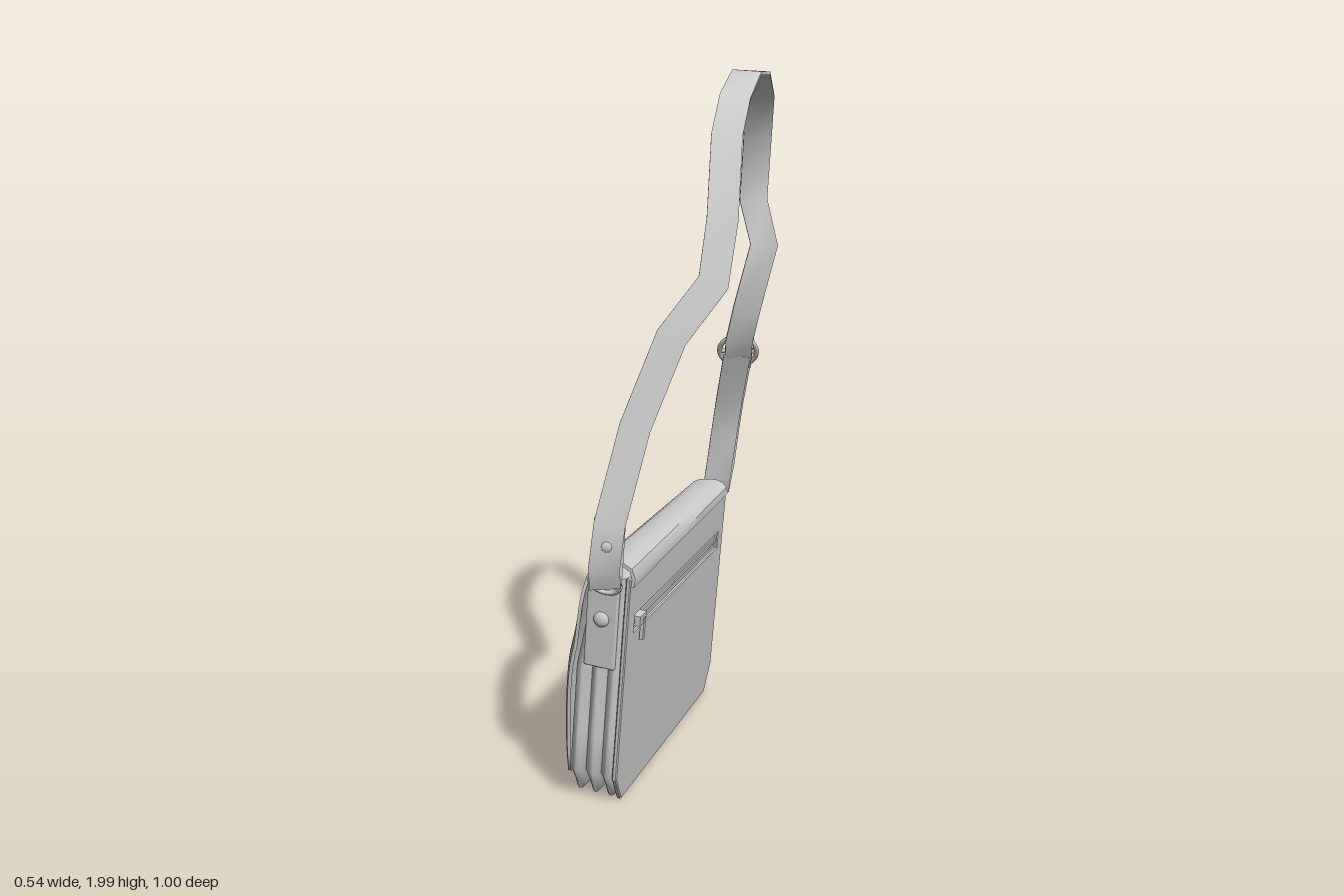
import * as THREE from 'three';
import { toCreasedNormals } from 'three/addons/utils/BufferGeometryUtils.js';
import { RoundedBoxGeometry } from 'three/addons/geometries/RoundedBoxGeometry.js';

const material = new THREE.MeshStandardMaterial({ color: 0xcccccc });
const V = (x, y, z) => new THREE.Vector3(x, y, z);
const clamp01 = v => THREE.MathUtils.clamp(v, 0, 1);

function add(parent, name, geometry, x = 0, y = 0, z = 0) {
  const mesh = new THREE.Mesh(geometry, material);
  mesh.name = name;
  mesh.position.set(x, y, z);
  parent.add(mesh);
  return mesh;
}

// Skin a list of equal-length rings and cap both ends
function loft(rings, crease = 0.6) {
  const n = rings[0].length, index = [];
  for (let i = 0; i < rings.length - 1; i++) {
    for (let j = 0; j < n; j++) {
      const a = i * n + j, b = i * n + (j + 1) % n;
      index.push(a, b, b + n, a, b + n, a + n);
    }
  }
  const last = (rings.length - 1) * n;
  for (let j = 1; j < n - 1; j++) {
    index.push(0, j + 1, j, last, last + j, last + j + 1);
  }
  const g = new THREE.BufferGeometry().setFromPoints(rings.flat());
  g.setIndex(index);
  return toCreasedNormals(g, crease);
}

// Band along points; width is kept square to the path, bend curls it across its width
function ribbon(points, halfWidth, thickness, across, steps = 1, bend = () => 0) {
  const rings = points.map((p, i) => {
    const t = points[Math.min(i + 1, points.length - 1)].clone()
      .sub(points[Math.max(i - 1, 0)]).normalize();
    const w = across.clone().addScaledVector(t, -across.dot(t)).normalize();
    const nrm = t.clone().cross(w);
    const half = typeof halfWidth === 'function' ? halfWidth(p, i) : halfWidth;
    const face = side => Array.from({ length: steps + 1 }, (_, k) => {
      const u = half * (1 - 2 * k / steps);
      return p.clone().addScaledVector(w, u)
        .addScaledVector(nrm, side * thickness / 2 - bend(u, p));
    });
    return [...face(1), ...face(-1).reverse()];
  });
  return loft(rings);
}

// The lower part of the bag sits slightly further back along its length
const lean = y => -0.018 * (1 - y / 0.7);

// Side outline of the bag (chamfered lower corners), x given as a rule of height
function outline(half, inset, xAt) {
  const side = [[half, 0.685], [half, 0.55], [half, 0.4], [half, 0.2],
    [half, 0.085], [half - 0.024, 0.045], [half - 0.05, 0.003]]
    .map(([z, y]) => [z - inset, y + inset * (y < 0.05 ? 1 : 0)]);
  const all = [...side, ...side.slice().reverse().map(([z, y]) => [-z, y])];
  return all.map(([z, y]) => V(xAt(y), y, z + lean(y)));
}

function createBag() {
  const bag = new THREE.Group();
  bag.name = 'bag';

  // Body with three accordion folds round the sides and base
  const depth = y => 0.138 - Math.max(0, y - 0.4) * 0.15;
  const rings = [];
  for (let k = 0; k <= 30; k++) {
    const t = k / 30;
    const inset = 0.024 * (1 - Math.abs(Math.sin(3 * Math.PI * t)));
    rings.push(outline(0.428, inset, y => -0.045 - (1 - t) * depth(y)));
  }
  add(bag, 'accordionBody', loft(rings, 0.8));

  // Flat panel with a slot for the zip
  const panel = new THREE.Shape(outline(0.426, 0, () => 0).map(p => new THREE.Vector2(-p.z, p.y)));
  panel.holes.push(new THREE.Path([[-0.37, 0.513], [0.38, 0.513], [0.38, 0.567], [-0.37, 0.567]]
    .map(([x, y]) => new THREE.Vector2(x, y))));
  add(bag, 'zipPanel', new THREE.ExtrudeGeometry(panel, {
    depth: 0.008, bevelThickness: 0.003, bevelSize: 0.003, bevelOffset: -0.001, bevelSegments: 1,
  }), -0.047).rotation.y = Math.PI / 2;

  // Flap folded over the top, its side edges curling in towards the body
  const profile = new THREE.CatmullRomCurve3([
    [-0.034, 0.675], [-0.036, 0.7], [-0.055, 0.718], [-0.1, 0.718], [-0.14, 0.702],
    [-0.165, 0.65], [-0.198, 0.5], [-0.213, 0.4], [-0.209, 0.2], [-0.194, 0.055],
  ].map(([x, y]) => V(x, y, lean(y))));
  const flapWidth = p => {
    const r = 0.09, d = Math.max(0, 0.055 + r - p.y);
    return 0.417 + 0.018 * clamp01((0.7 - p.y) / 0.1) - r + Math.sqrt(Math.max(0, r * r - d * d));
  };
  const curl = (z, p) =>
    0.026 * clamp01((Math.abs(z) - 0.355) / 0.08) ** 2 * clamp01((0.68 - p.y) / 0.2);
  const flapPoints = [];
  for (let i = 0; i <= 50; i++) flapPoints.push(profile.getPointAt(1 - Math.pow(1 - i / 50, 1.35)));
  add(bag, 'flap', ribbon(flapPoints, flapWidth, 0.01, V(0, 0, 1), 40, curl));

  // Domed half-round patch on the flap
  const patch = [];
  for (let i = 0; i <= 20; i++) {
    const s = Math.cos(i / 20 * Math.PI / 2);
    patch.push(V(-0.212 - 0.014 * Math.sin(Math.PI * (0.15 + 0.85 * s)), 0.085 + 0.205 * s, -0.012));
  }
  add(bag, 'flapPatch', ribbon(patch, (p, i) => 0.22 * Math.sin(i / 20 * Math.PI / 2) + 0.002,
    0.012, V(0, 0, 1), 16, z => 0.014 * (z / 0.22) ** 2));

  // Zip: teeth, slider and pull
  const zip = new THREE.Group();
  zip.name = 'zip';
  bag.add(zip);
  for (const [name, d, h, l, x, y, z] of [
    ['zipTeeth', 0.006, 0.008, 0.74, -0.043, 0.54, -0.005],
    ['zipSlider', 0.022, 0.028, 0.05, -0.036, 0.542, 0.33],
    ['zipPull', 0.01, 0.065, 0.015, -0.028, 0.51, 0.32],
  ]) add(zip, name, new THREE.BoxGeometry(d, h, l), x, y, z);

  // End tabs with rivets and rings
  for (const s of [-1, 1]) {
    const tab = add(bag, 'endTab', new RoundedBoxGeometry(0.09, 0.235, 0.016, 2, 0.006),
      -0.108, 0.535, s * 0.43 - 0.004);
    tab.rotation.x = s * 0.04;
    const rivet = add(bag, 'tabRivet', new THREE.SphereGeometry(0.022, 16, 10),
      -0.108, 0.562, s * 0.439 - 0.004);
    rivet.scale.z = 0.6;
    const ring = add(bag, 'strapRing', new THREE.TorusGeometry(0.042, 0.008, 8, 24),
      -0.1, 0.672, s * 0.45);
    ring.scale.y = 0.75;
    ring.rotation.x = s * 0.4;
  }

  bag.rotation.order = 'YXZ';
  bag.rotation.set(0, -0.217, -0.09);
  return bag;
}

function createStrap() {
  const strap = new THREE.Group();
  strap.name = 'shoulderStrap';
  const band = (name, list, half, across) =>
    add(strap, name, ribbon(list.map(p => V(...p)), half, 0.01, across));

  // Long band from the near ring over the top to the buckle
  band('longStrap', [
    [-0.113, 0.87, 0.468], [-0.122, 0.77, 0.45], [-0.128, 0.69, 0.452], [-0.128, 0.68, 0.468],
    [-0.127, 0.74, 0.49], [-0.112, 0.86, 0.483], [-0.055, 1.1, 0.41], [0.035, 1.33, 0.37],
    [0.137, 1.465, 0.315], [0.155, 1.62, 0.265], [0.157, 1.83, 0.17], [0.172, 1.925, 0.1],
    [0.192, 1.988, -0.05], [0.21, 1.982, -0.15], [0.217, 1.92, -0.25], [0.207, 1.8, -0.32],
    [0.196, 1.62, -0.345], [0.232, 1.49, -0.305], [0.183, 1.3, -0.322], [0.158, 1.19, -0.34],
    [0.15, 1.1, -0.395],
  ], 0.041, V(1, 0, -0.15));

  // Short looped band, folded over the buckle bar and round the far ring
  band('buckleStrap', [
    [0.16, 1.165, -0.36], [0.16, 1.195, -0.375], [0.158, 1.175, -0.412], [0.147, 1.1, -0.412],
    [0.125, 0.98, -0.455], [0.11, 0.88, -0.48],
    [0.095, 0.76, -0.492], [0.082, 0.69, -0.485], [0.08, 0.675, -0.468], [0.085, 0.72, -0.455],
    [0.105, 0.87, -0.458], [0.125, 1.0, -0.425], [0.15, 1.14, -0.37],
  ], 0.041, V(1, 0, -0.1));

  // Round buckle with a centre bar
  const buckle = new THREE.Group();
  buckle.name = 'buckle';
  add(buckle, 'buckleRing', new THREE.TorusGeometry(0.057, 0.008, 8, 28));
  add(buckle, 'buckleBar', new THREE.CylinderGeometry(0.007, 0.007, 0.11, 10)).rotation.z = Math.PI / 2;
  buckle.position.set(0.152, 1.152, -0.386);
  buckle.lookAt(0.152, 1.152 + 0.5, -0.386 - 0.87);
  strap.add(buckle);

  // Strap rivets
  for (const [x, y, z] of [[-0.121, 0.8, 0.487], [0.136, 1.05, -0.434]]) {
    add(strap, 'strapRivet', new THREE.SphereGeometry(0.017, 14, 8), x, y, z).scale.z = 0.6;
  }
  return strap;
}

export function createModel() {
  const model = new THREE.Group();
  model.name = 'shoulderBag';
  model.add(createBag(), createStrap());
  return model;
}
